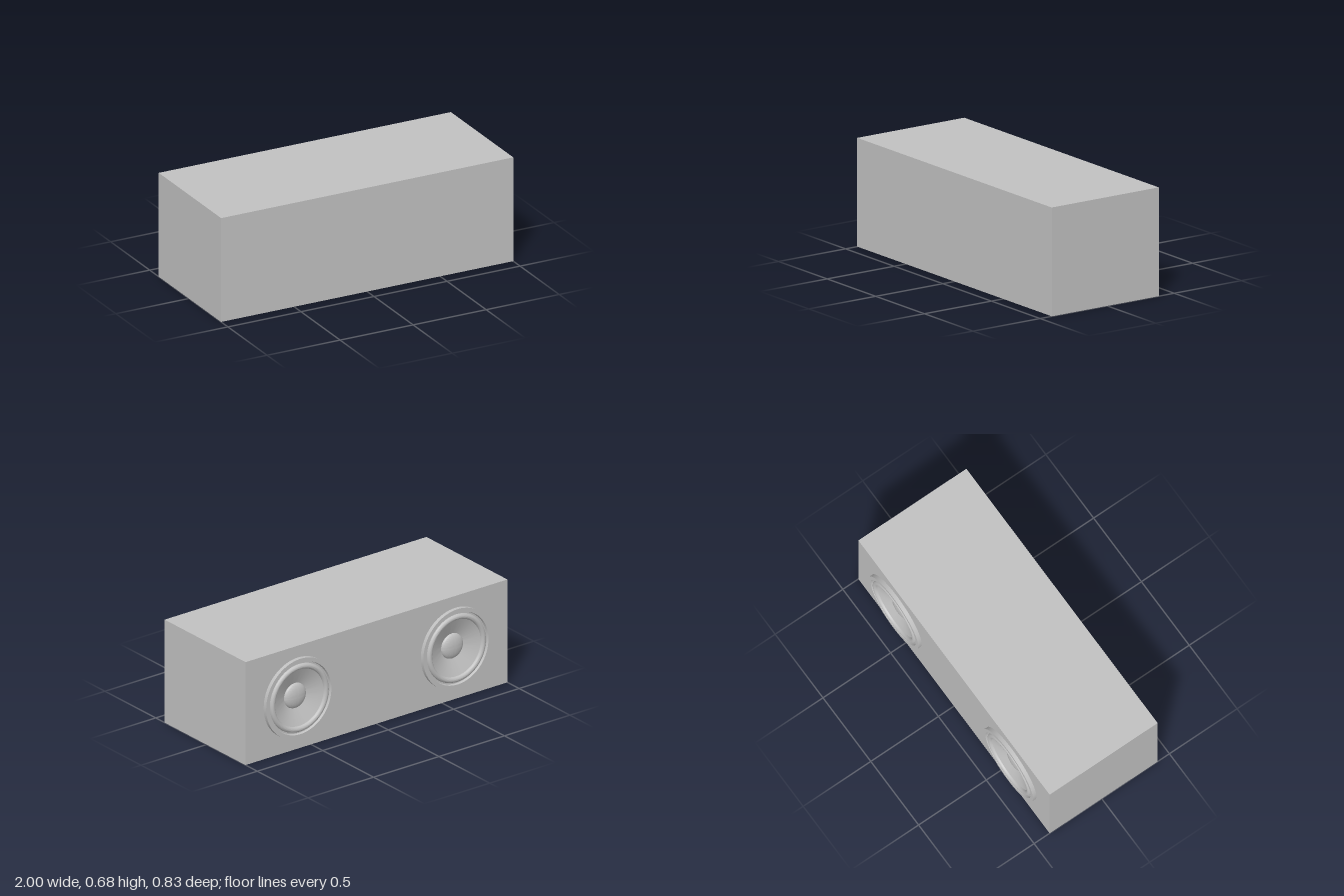
import * as THREE from 'three';
import { toCreasedNormals } from 'three/addons/utils/BufferGeometryUtils.js';

const WIDTH = 2, HEIGHT = 0.68, FRONT = 0.413, BACK = -0.385, BAFFLE = 0.08;
const DRIVER_X = 0.6, DRIVER_Y = 0.34, HOLE = 0.24;

export function createModel() {
  const model = new THREE.Group();
  model.name = 'speakerCabinet';
  const grey = new THREE.MeshStandardMaterial({ color: 0xc0c0c0 });
  grey.name = 'plain grey';

  const add = (parent, name, geometry) => {
    const mesh = new THREE.Mesh(geometry, grey);
    mesh.name = name;
    parent.add(mesh);
    return mesh;
  };

  // Solid cabinet body
  const depth = FRONT - BACK - BAFFLE;
  add(model, 'cabinetBody', new THREE.BoxGeometry(WIDTH, HEIGHT, depth))
    .position.set(0, HEIGHT / 2, FRONT - depth / 2);

  // Baffle board with two round cut-outs
  const board = new THREE.Shape([
    new THREE.Vector2(-WIDTH / 2, 0), new THREE.Vector2(WIDTH / 2, 0),
    new THREE.Vector2(WIDTH / 2, HEIGHT), new THREE.Vector2(-WIDTH / 2, HEIGHT),
  ]);
  for (const side of [-1, 1]) {
    board.holes.push(new THREE.Path().absarc(side * DRIVER_X, DRIVER_Y, HOLE, 0, Math.PI * 2, true));
  }
  add(model, 'baffle', new THREE.ExtrudeGeometry(board, { depth: BAFFLE, bevelEnabled: false, curveSegments: 48 }))
    .position.z = BACK;

  // Turned driver parts: [radius, height above the baffle], outside to centre
  const turn = (points) => toCreasedNormals(
    new THREE.LatheGeometry(points.map(([r, h]) => new THREE.Vector2(r, h)), 72).rotateX(-Math.PI / 2), 0.5);

  // Half-round rubber roll
  const roll = [];
  for (let i = 0; i <= 12; i++) {
    const a = (i / 12) * Math.PI;
    roll.push([0.205 + 0.018 * Math.cos(a), 0.010 + 0.018 * Math.sin(a)]);
  }
  // Domed dust cap
  const cap = [];
  for (let i = 0; i <= 10; i++) {
    const a = (i / 10) * Math.PI / 2;
    cap.push([0.082 * Math.cos(a), -0.032 + 0.03 * Math.sin(a)]);
  }

  for (const side of [-1, 1]) {
    const driver = new THREE.Group();
    driver.name = side > 0 ? 'leftDriver' : 'rightDriver';
    driver.position.set(side * DRIVER_X, DRIVER_Y, BACK);
    add(driver, 'flange', turn([[0.262, 0], [0.262, 0.025], [0.236, 0.025], [0.232, 0.010], [0.222, 0.010]]));
    add(driver, 'surround', turn(roll));
    add(driver, 'cone', turn([[0.188, 0.010], [0.08, -0.034]]));
    add(driver, 'dustCap', turn(cap));
    model.add(driver);
  }
  return model;
}
